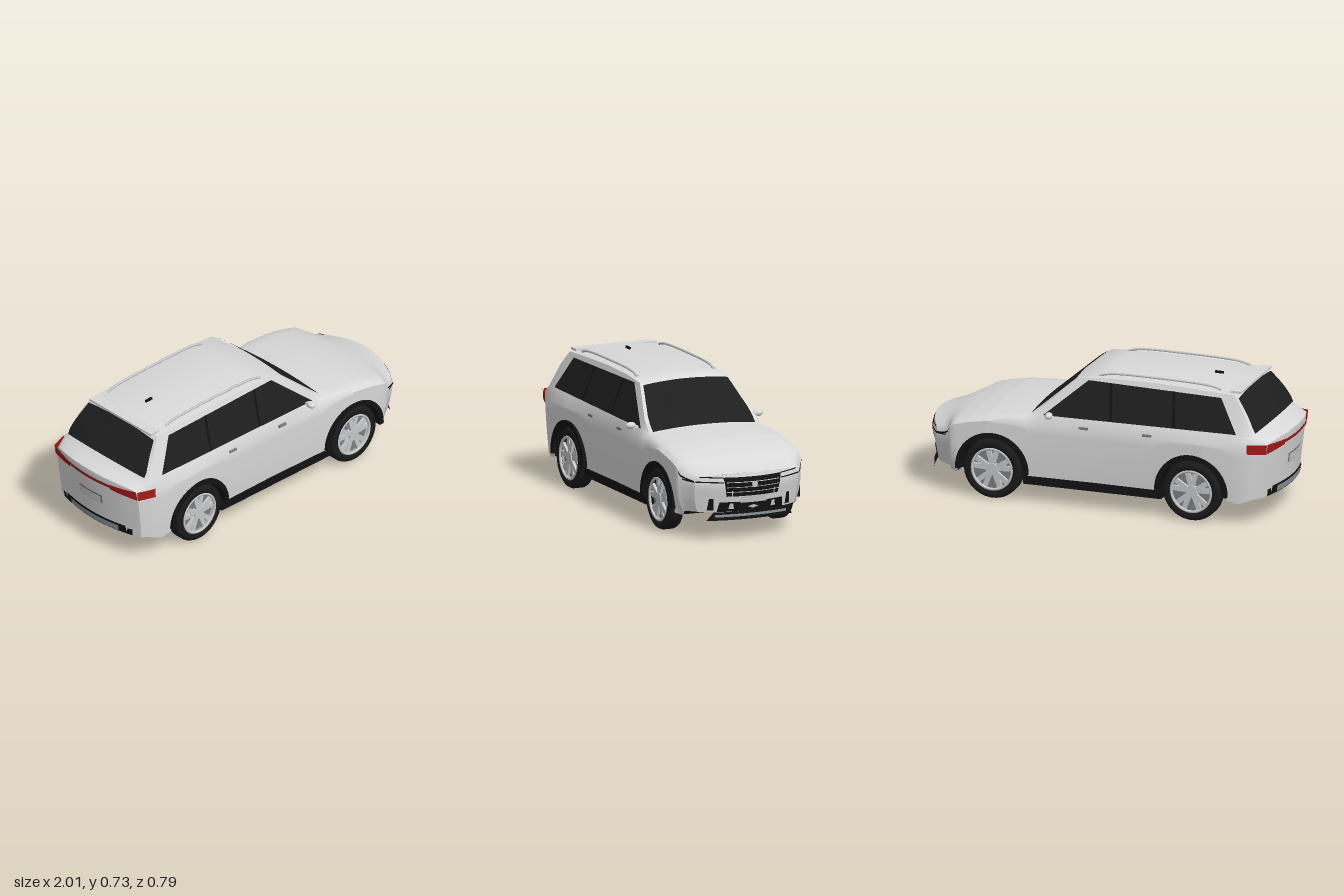
import * as THREE from 'three';
import { toCreasedNormals } from 'three/addons/utils/BufferGeometryUtils.js';

const mat = (name, color, side = THREE.FrontSide) => {
  const m = new THREE.MeshStandardMaterial({ color, side });
  m.name = name;
  return m;
};
const V = (x, y, z) => new THREE.Vector3(x, y, z);
const smooth = THREE.MathUtils.smoothstep;
const mix = THREE.MathUtils.lerp;

// Body rules along x (the nose points to +x)
const along = (table) => (x) => {
  for (let i = 1; i < table.length; i++) {
    const [x0, y0] = table[i - 1], [x1, y1] = table[i];
    if (x <= x1) return mix(y0, y1, Math.max(0, (x - x0) / (x1 - x0)));
  }
  return table[table.length - 1][1];
};
const WIDTH = [[-1, .31], [-.95, .328], [-.9, .338], [-.8, .352], [-.6, .362], [-.3, .35], [0, .346], [.3, .351],
  [.6, .364], [.77, .362], [.85, .355], [.93, .345], [.97, .325], [1, .30]];
const TOP = [[-1, .455], [-.95, .473], [-.9, .485], [-.745, .685], [-.5, .696], [-.3, .702], [-.05, .70], [.12, .687],
  [.37, .47], [.5, .461], [.6, .452], [.7, .434], [.8, .407], [.88, .382], [.95, .358], [1, .342]];
const FLOOR = [[-1, .15], [-.9, .135], [-.8, .118], [-.73, .13], [.76, .13], [.8, .118], [.9, .143], [1, .15]];
const width = along(WIDTH), top = along(TOP), floorY = along(FLOOR);
const WHEELS = [-.54, .57], AXLE = .163, ARCH = .19;

const bottom = (x) => {
  for (const c of WHEELS) {
    const d = Math.abs(x - c);
    if (d <= ARCH + 1e-6) return AXLE + Math.sqrt(Math.max(0, ARCH * ARCH - d * d));
  }
  return floorY(x);
};
// Bows the two ends in plan and leans them in profile
const warp = (x, y, z) => {
  const f = smooth(x, .77, 1), r = 1 - smooth(x, -1, -.8);
  const leanF = y > .3 ? .25 * (y - .3) : .2 * (.3 - y);
  const leanR = .12 * Math.max(0, .45 - y);
  return V(x - f * (1.1 * z * z + leanF) + r * (.6 * z * z + leanR), y, z);
};
// Sides tuck in towards the sill, more so under the front bumper
const sideZ = (x, y) => width(x) * (1 - .5 * Math.max(0, .36 - y) ** 2
  - 5 * smooth(x, .76, .8) * Math.max(0, .25 - y) ** 2);
const beltZ = (x) => Math.min(.328 + .02 * smooth(x, .38, .5), width(x) - .018);
const topZ = (x) => beltZ(x) - Math.max(.014, (top(x) - .48) * .357);
const crown = (x, f) => warp(x, top(x) + .018 * (1 - f * f), f * topZ(x));

function halfSection(x) {
  const yb = bottom(x), ys = Math.min(.43, top(x) - .024), pts = [];
  for (let k = 0; k <= 6; k++) {
    const y = mix(yb, ys, k / 6);
    pts.push(warp(x, y, sideZ(x, y)));
  }
  pts.push(warp(x, Math.min(.48, top(x) - .007), beltZ(x)));
  for (const f of [1, .85, .6, .3, 0]) pts.push(crown(x, f));
  return pts;
}
const flip = (p) => V(p.x, p.y, -p.z);

// Surface from rows of points: columns run right, rows run up
function grid(rows) {
  const pos = [], idx = [], n = rows[0].length;
  rows.forEach((r) => r.forEach((p) => pos.push(p.x, p.y, p.z)));
  for (let k = 0; k < rows.length - 1; k++) for (let c = 0; c < n - 1; c++) {
    const a = k * n + c;
    idx.push(a, a + 1, a + n + 1, a, a + n + 1, a + n);
  }
  const g = new THREE.BufferGeometry();
  g.setAttribute('position', new THREE.Float32BufferAttribute(pos, 3));
  g.setIndex(idx);
  return toCreasedNormals(g, .75);
}
// Four-cornered patch laid on a surface fn(a, b)
function patch(fn, [p, q, r, s], nu = 12, nv = 4) {
  const rows = [];
  for (let j = 0; j <= nv; j++) {
    const row = [], v = j / nv;
    for (let i = 0; i <= nu; i++) {
      const u = i / nu;
      row.push(fn(mix(mix(p[0], q[0], u), mix(s[0], r[0], u), v), mix(mix(p[1], q[1], u), mix(s[1], r[1], u), v)));
    }
    rows.push(row);
  }
  return grid(rows);
}

export function createModel() {
  const car = new THREE.Group();
  car.name = 'car';
  const D = THREE.DoubleSide;
  const paint = mat('white paint', 0xd9d9d9), decal = mat('pale panel', 0xcfcfcf, D);
  const glass = mat('dark glass', 0x1e1e1e, D), trim = mat('black trim', 0x121212, D);
  const rubber = mat('tyre rubber', 0x1a1a1a), silver = mat('silver', 0xc6c8ca, D);
  const grey = mat('grey metal', 0x7c7e80, D), red = mat('red lamp', 0xa51a1a, D), skidGrey = mat('skid grey', 0x8a939c, D);
  const add = (name, geo, m, x = 0, y = 0, z = 0, parent = car) => {
    const mesh = new THREE.Mesh(geo, m);
    mesh.name = name;
    mesh.position.set(x, y, z);
    parent.add(mesh);
    return mesh;
  };
  const both = (fn) => [1, -1].forEach(fn);

  // Body shell, lofted from nose to tail with open wheel arches
  const xs = new Set([...WIDTH, ...TOP, ...FLOOR].map((p) => p[0]));
  for (const c of WHEELS) {
    for (let i = 0; i <= 24; i++) xs.add(c - ARCH * Math.cos(Math.PI * i / 24));
    xs.add(c - ARCH - .003).add(c + ARCH + .003);
  }
  const stations = [...xs].sort((a, b) => a - b);
  const halves = stations.map(halfSection);
  const full = halves.map((h) => [...h, ...h.slice(0, -1).reverse().map(flip)]);
  add('bodyShell', grid(full[0].map((_, k) => full.map((s) => s[k]))), paint);
  const cap = (x, dir) => grid(halfSection(x).map((p) => {
    const row = [];
    for (let i = 0; i <= 16; i++) row.push(warp(x, p.y, dir * p.z * (1 - i / 8)));
    return row;
  }));
  add('noseFace', cap(1, 1), paint);
  add('tailFace', cap(-1, -1), paint);

  // Underbody and sills
  const inArch = (x) => WHEELS.some((c) => Math.abs(x - c) <= ARCH + .001);
  const floorEdge = stations.map((x) => {
    const y = floorY(x) + .004;
    return warp(x, y, inArch(x) ? .268 : sideZ(x, y) - .004);
  });
  add('underbody', grid([floorEdge, floorEdge.map(flip)]), trim);
  add('innerBody', new THREE.BoxGeometry(1.54, .273, .53), trim, 0, .2615, 0);
  both((s) => add('sideSkirt', new THREE.BoxGeometry(.77, .045, .06), trim, .015, .122, s * .318));

  // Glass
  const front = (x, f) => crown(x, f).add(V(.004, .004, 0));
  add('windshield', patch(front, [[.368, .94], [.368, -.94], [.137, -.94], [.137, .94]], 16, 6), glass);
  const rear = (x, f) => crown(x, f).add(V(-.005, .004, 0));
  add('rearWindow', patch(rear, [[-.893, -.95], [-.893, .95], [-.762, .95], [-.762, -.95]], 16, 6), glass);
  both((s) => {
    const plane = (lift) => (x, y) => V(x, y, s * (.328 + lift - (y - .48) * .357));
    add('sideWindow', patch(plane(.004), [[-.78, .493], [.295, .484], [.065, .681], [-.675, .667]], 4, 2), glass);
    for (const x of [-.44, -.09])
      add('windowPillar', patch(plane(.006), [[x, .492], [x + .016, .492], [x + .036, .674], [x + .02, .674]], 1, 1), trim);
  });

  // Roof: spoiler, rails, antenna
  add('spoiler', new THREE.BoxGeometry(.06, .012, .47), paint, -.745, .696, 0);
  both((s) => {
    const path = [[-.66, .699], [-.6, .713], [-.3, .722], [-.04, .716], [.02, .70]].map(([x, y]) => V(x, y, s * .222));
    add('roofRail', new THREE.TubeGeometry(new THREE.CatmullRomCurve3(path), 32, .0065, 8), silver);
  });
  add('antenna', new THREE.BoxGeometry(.045, .012, .01), trim, -.57, .717, 0);

  // Nose details, laid on the front face
  const nose = (lift) => (z, y) => warp(1, y, z).add(V(lift, 0, 0));
  const tail = (lift) => (z, y) => warp(-1, y, z).add(V(-lift, 0, 0));
  const plate = (name, fn, m, z0, z1, y0, y1, inset = 0) =>
    add(name, patch(fn, [[z0 + inset, y0], [z1 - inset, y0], [z1, y1], [z0, y1]]), m);
  plate('grille', nose(.004), trim, -.165, .165, .235, .338, .017);
  for (const y of [.312, .285, .259]) plate('grilleBar', nose(.007), silver, -.15, .15, y - .002, y + .002);
  const badge = add('noseDisc', new THREE.CylinderGeometry(.016, .016, .008, 24), silver, 1.002, .298, 0);
  badge.rotation.z = Math.PI / 2;
  plate('frontNumberPlate', nose(.010), decal, -.075, .075, .199, .237);
  plate('lowerIntake', nose(.004), trim, -.18, .18, .151, .204, -.01);
  add('intakeCentre', patch(nose(.008), [[0, .166], [.032, .176], [0, .186], [-.032, .176]], 4, 4), decal);
  // Skid lip under the front bumper
  const lip = (lift) => (z, y) => V(.968 + lift - .6 * z * z, y, z);
  plate('frontSkid', lip(0), trim, -.212, .212, .106, .15, -.036);
  plate('frontSkidInsert', lip(.004), skidGrey, -.205, .205, .124, .138);
  const sideFn = (s, lift) => (x, y) => {
    const p = warp(x, y, sideZ(x, y));
    return V(p.x + Math.sign(x) * lift, y, s * (p.z + lift));
  };
  both((s) => {
    add('sideIntake', patch(nose(.005), [[s * .205, .16], [s * .238, .16], [s * .232, .224], [s * .21, .224]]), trim);
    add('intakeFin', patch(nose(.008), [[s * .105, .166], [s * .135, .166], [s * .128, .198], [s * .112, .198]]), decal);
    add('grilleFin', patch(nose(.010), [[s * .118, .238], [s * .122, .238], [s * .124, .268], [s * .116, .268]]), silver);
    // Headlamp outline
    add('headlampLower', patch(nose(.004), [[s * .165, .310], [s * .298, .311], [s * .298, .318], [s * .165, .315]]), trim);
    add('headlampUpper', patch(nose(.005), [[s * .165, .335], [s * .278, .337], [s * .278, .343], [s * .165, .340]]), trim);
    add('headlampSideLower', patch(sideFn(s, .004), [[.94, .318], [1, .311], [1, .318], [.94, .325]]), trim);
    add('headlampSideUpper', patch(sideFn(s, .004), [[.87, .352], [1, .312], [1, .32], [.87, .364]]), trim);
  });

  // Tail details
  both((s) => {
    add('tailLamp', patch(tail(.007), [[s * .312, .398], [s * .15, .414], [s * .15, .442], [s * .308, .452]]), red);
    add('tailLampSide', patch(sideFn(s, .007), [[-1, .398], [-.855, .40], [-.855, .452], [-1, .452]], 16, 4), red);
    add('rearVent', patch(tail(.006), [[s * .225, .152], [s * .26, .152], [s * .265, .19], [s * .235, .19]]), trim);
  });
  plate('tailLampBar', tail(.005), red, -.15, .15, .421, .439);
  plate('plateRecess', tail(.004), grey, -.085, .085, .29, .342);
  plate('rearNumberPlate', tail(.008), decal, -.078, .078, .296, .336);
  plate('rearBumperTrim', tail(.005), trim, -.22, .22, .152, .2, -.01);
  plate('rearSkid', tail(.009), skidGrey, -.18, .18, .158, .19);

  // Door handles and mirrors
  both((s) => {
    for (const x of [-.29, .065]) add('doorHandle', new THREE.BoxGeometry(.05, .012, .014), grey, x, .44, s * .345);
    const mirror = add('mirror', new THREE.SphereGeometry(1, 20, 14), paint, .25, .496, s * .367);
    mirror.scale.set(.02, .018, .029);
    add('mirrorStalk', new THREE.BoxGeometry(.02, .012, .04), paint, .255, .487, s * .338);
  });

  // Wheels and arch trims
  const archShape = new THREE.Shape();
  archShape.absarc(0, 0, .201, -.06, Math.PI + .06, false);
  archShape.absarc(0, 0, .174, Math.PI + .06, -.06, true);
  const archGeo = toCreasedNormals(new THREE.ExtrudeGeometry(archShape, { depth: .11, bevelEnabled: false, curveSegments: 32 }), .6);
  const profile = [[.105, 0], [.14, 0], [.155, .006], [.161, .018], [.161, .069], [.155, .081], [.14, .087], [.118, .085], [.112, .07]];
  const tyreGeo = new THREE.LatheGeometry(profile.map(([r, h]) => new THREE.Vector2(r, h)), 48).rotateX(Math.PI / 2);
  const disc = (r, h) => new THREE.CylinderGeometry(r, r, h, 40).rotateX(Math.PI / 2);
  for (const x of WHEELS) both((s) => {
    add('archTrim', archGeo, trim, x, AXLE, s > 0 ? .26 : -.37);
    const wheel = new THREE.Group();
    wheel.name = 'wheel';
    wheel.position.set(x, AXLE, s * .275);
    if (s < 0) wheel.rotation.y = Math.PI;
    car.add(wheel);
    add('tyre', tyreGeo, rubber, 0, 0, 0, wheel);
    add('rimBack', disc(.114, .05), grey, 0, 0, .03, wheel);
    add('rimRing', new THREE.TorusGeometry(.111, .008, 8, 48), silver, 0, 0, .08, wheel);
    add('hub', disc(.032, .03), silver, 0, 0, .068, wheel);
    for (let i = 0; i < 5; i++) for (const e of [-.2, .2]) {
      const a = Math.PI / 2 + i * Math.PI * .4;
      const spoke = add('spoke', new THREE.BoxGeometry(.096, .026, .016), silver,
        .063 * Math.cos(a + e), .063 * Math.sin(a + e), .07, wheel);
      spoke.rotation.z = a + e * 1.3;
    }
  });
  return car;
}
